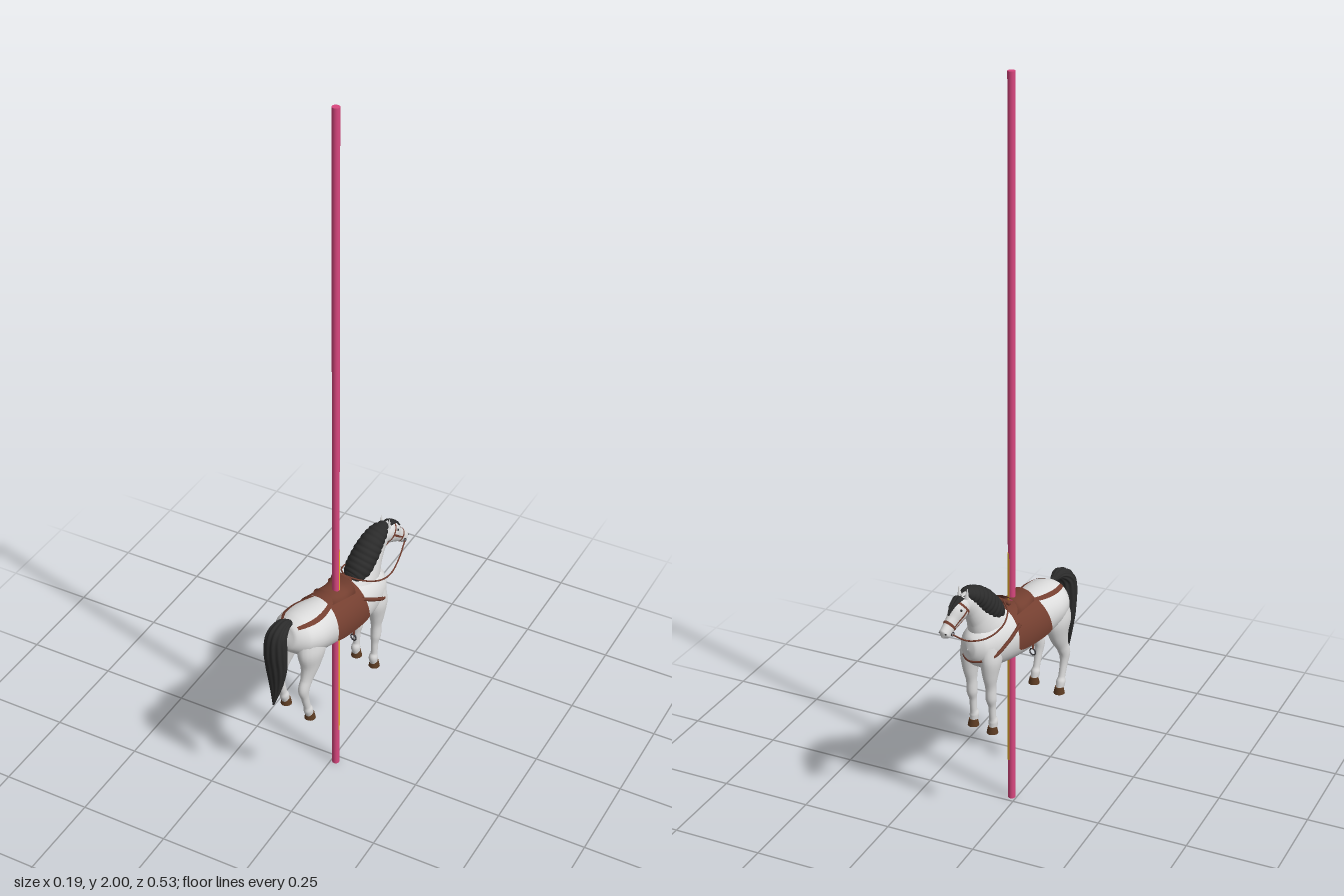
import * as THREE from 'three';
import { mergeVertices } from 'three/addons/utils/BufferGeometryUtils.js';

const mat = (name, color, side = THREE.FrontSide) => {
  const m = new THREE.MeshStandardMaterial({ color, side });
  m.name = name;
  return m;
};
const coat = mat('white coat', 0xdcdcdc);
const hair = mat('black hair', 0x2b2b2b, THREE.DoubleSide);
const leather = mat('brown leather', 0x743f30, THREE.DoubleSide);
const hoofMat = mat('hoof brown', 0x5c3b22);
const pinkMat = mat('pole pink', 0xd9477f);
const goldMat = mat('pole gold', 0xe8b02c);
const metal = mat('dark metal', 0x3c3c40);

const X = new THREE.Vector3(1, 0, 0);

// Surface through elliptical rings [side, forward, height, half width, half depth].
// Returns a point for t along the path and phi around it (0 = top of a forward path).
function surface(rings) {
  const path = new THREE.CatmullRomCurve3(rings.map(r => new THREE.Vector3(r[0], r[2], -r[1])));
  const size = new THREE.CatmullRomCurve3(rings.map(r => new THREE.Vector3(r[3], r[4], 0)));
  return (t, phi, off = 0) => {
    t = Math.min(1, Math.max(0, t));
    const c = path.getPoint(t), s = size.getPoint(t);
    const n = X.clone().cross(path.getTangent(t)).normalize();
    return c.addScaledVector(X, (s.x + off) * Math.sin(phi)).addScaledVector(n, (s.y + off) * Math.cos(phi));
  };
}

// Smooth grid of points from fn(u, v)
function grid(fn, nu, nv) {
  const pos = [], index = [];
  for (let i = 0; i <= nu; i++)
    for (let j = 0; j <= nv; j++) pos.push(...fn(i / nu, j / nv).toArray());
  for (let i = 0; i < nu; i++)
    for (let j = 0; j < nv; j++) {
      const a = i * (nv + 1) + j, b = a + 1, c = a + nv + 1, d = c + 1;
      index.push(a, b, c, b, d, c);
    }
  let g = new THREE.BufferGeometry();
  g.setAttribute('position', new THREE.Float32BufferAttribute(pos, 3));
  g.setIndex(index);
  g = mergeVertices(g, 1e-5);
  g.computeVertexNormals();
  return g;
}

const loft = (surf, nu = 40, nv = 28, ripple = () => 0) =>
  grid((u, v) => surf(u, v * Math.PI * 2, ripple(u, v * Math.PI * 2)), nu, nv);

// Patch lying on a surface
const patch = (surf, t0, t1, p0, p1, off, nu = 6, nv = 20) =>
  grid((u, v) => surf(t0 + (t1 - t0) * u, p0 + (p1 - p0) * v, off), nu, nv);

const tube = (pts, r, n = 40) => new THREE.TubeGeometry(
  new THREE.CatmullRomCurve3(pts.map(p => new THREE.Vector3(p[0], p[2], -p[1]))), n, r, 6);

export function createModel() {
  const model = new THREE.Group();
  model.name = 'carouselHorse';
  const horse = new THREE.Group();
  horse.name = 'horse';
  horse.position.set(0.005, 0, 0.0175);
  horse.rotation.y = -0.24;
  model.add(horse);
  const add = (name, geo, material, parent = horse) => {
    const m = new THREE.Mesh(geo, material);
    m.name = name;
    parent.add(m);
    return m;
  };

  // Pole with gold strip
  add('pole', new THREE.CylinderGeometry(0.01, 0.01, 2, 20), pinkMat, model).position.set(0.013, 1, 0.02);
  add('poleStrip', new THREE.CylinderGeometry(0.008, 0.008, 0.62, 16), goldMat, model).position.set(0.0155, 0.43, 0.0183);

  // Torso, neck and head
  const body = surface([
    [0, -0.19, 0.56, 0.002, 0.002], [0, -0.184, 0.558, 0.034, 0.034], [0, -0.155, 0.552, 0.064, 0.055],
    [0, -0.11, 0.543, 0.073, 0.064], [0, -0.05, 0.531, 0.067, 0.071], [0, 0.02, 0.527, 0.064, 0.074],
    [0, 0.08, 0.532, 0.062, 0.074], [0, 0.13, 0.536, 0.055, 0.068], [0, 0.165, 0.54, 0.042, 0.052],
    [0, 0.185, 0.541, 0.022, 0.03], [0, 0.19, 0.541, 0.002, 0.002]]);
  const neck = surface([
    [0, 0.085, 0.55, 0.05, 0.066], [0, 0.12, 0.59, 0.038, 0.055], [0, 0.145, 0.628, 0.029, 0.041],
    [0, 0.17, 0.66, 0.023, 0.033], [0, 0.195, 0.682, 0.02, 0.028], [0, 0.215, 0.69, 0.01, 0.013]]);
  const head = surface([
    [0, 0.192, 0.692, 0.004, 0.006], [0, 0.208, 0.68, 0.021, 0.03], [0, 0.225, 0.667, 0.022, 0.03],
    [0, 0.245, 0.65, 0.017, 0.023], [0, 0.265, 0.635, 0.0145, 0.018], [0, 0.279, 0.623, 0.0145, 0.017],
    [0, 0.288, 0.616, 0.002, 0.002]]);
  add('torso', loft(body, 60, 36), coat);
  add('neck', loft(neck), coat);
  add('head', loft(head), coat);

  // Body parameter for a forward distance
  const at = s => {
    let lo = 0, hi = 1;
    for (let i = 0; i < 24; i++) {
      const m = (lo + hi) / 2;
      if (-body(m, Math.PI / 2).z < s) lo = m; else hi = m;
    }
    return lo;
  };

  // Mane in ridged locks, forelock and tail
  const mane = surface([
    [0, 0.05, 0.598, 0.004, 0.004], [0, 0.075, 0.605, 0.028, 0.024], [0, 0.105, 0.629, 0.036, 0.034],
    [0, 0.13, 0.655, 0.035, 0.034], [0, 0.155, 0.68, 0.031, 0.028], [0, 0.18, 0.697, 0.025, 0.02],
    [0, 0.205, 0.71, 0.009, 0.008]]);
  add('mane', loft(mane, 90, 28, u => 0.0022 * Math.abs(Math.sin(u * Math.PI * 13))), hair);
  add('forelock', grid((u, v) => head(0.1 + 0.42 * u, (v - 0.5) * 1.5 * (1 - 0.85 * u),
    0.004 + 0.0015 * Math.cos(v * 18)), 14, 16), hair);
  const tail = surface([
    [0, -0.168, 0.598, 0.01, 0.008], [0, -0.192, 0.604, 0.02, 0.014], [0, -0.217, 0.585, 0.028, 0.023],
    [0, -0.223, 0.54, 0.031, 0.027], [0, -0.221, 0.48, 0.029, 0.024], [0, -0.224, 0.42, 0.019, 0.015],
    [0, -0.235, 0.36, 0.002, 0.002]]);
  add('tail', loft(tail, 40, 60, (u, p) => 0.0022 * Math.sin(p * 11 + u * 5) * Math.sin(u * Math.PI)), hair);

  // Saddle blanket with slightly flared corners, and raised seat
  add('saddleFlap', grid((u, v) => {
    const k = Math.abs(2 * v - 1), round = 0.12 * Math.pow(Math.abs(2 * u - 1), 6);
    return body(at(-0.064 + 0.128 * u), (2 * v - 1) * (1.9 - round), 0.005 + 0.004 * k ** 4);
  }, 20, 40), leather);
  add('saddleSeat', grid((u, v) => {
    const w = 2 * v - 1, e = 2 * u - 1;
    const rise = (0.008 + (e > 0 ? 0.016 : 0.01) * e * e) * (1 - w ** 4);
    return body(at(-0.05 + 0.095 * u), w * (0.5 + 0.15 * u), 0.005 + rise);
  }, 20, 20), leather);
  add('pommel', new THREE.CapsuleGeometry(0.006, 0.035, 6, 12).rotateZ(Math.PI / 2)
    .translate(0, 0.62, -0.044), leather);

  // Breast strap, bridle bands
  add('breastStrap', tube([[-0.06, 0.05, 0.575], [-0.061, 0.1, 0.545], [-0.047, 0.15, 0.515], [0, 0.181, 0.505],
    [0.047, 0.15, 0.515], [0.061, 0.1, 0.545], [0.06, 0.05, 0.575]], 0.005), leather);
  for (const [t, n] of [[0.22, 'browBand'], [0.6, 'noseBand']])
    add(n, patch(head, t, t + 0.045, 0, Math.PI * 2, 0.0015, 2, 28), leather);

  // Mirrored parts
  for (const side of [1, -1]) {
    const name = side > 0 ? 'right' : 'left';

    // Legs: rings run from the body down to the pastern
    const front = [[0.03, 0.13, 0.54, 0.022, 0.04], [0.033, 0.135, 0.5, 0.024, 0.036], [0.033, 0.138, 0.455, 0.018, 0.025],
      [0.032, 0.136, 0.415, 0.013, 0.016], [0.032, 0.135, 0.387, 0.0135, 0.016], [0.032, 0.131, 0.36, 0.0095, 0.011],
      [0.032, 0.129, 0.327, 0.009, 0.01], [0.032, 0.126, 0.312, 0.012, 0.0135], [0.032, 0.128, 0.295, 0.0105, 0.0115]];
    const hind = [[0.036, -0.128, 0.56, 0.028, 0.04], [0.042, -0.132, 0.51, 0.029, 0.046], [0.043, -0.138, 0.46, 0.021, 0.032],
      [0.043, -0.153, 0.42, 0.014, 0.02], [0.043, -0.164, 0.392, 0.013, 0.018], [0.043, -0.16, 0.362, 0.01, 0.012],
      [0.043, -0.152, 0.327, 0.009, 0.0105], [0.043, -0.148, 0.312, 0.012, 0.0135], [0.043, -0.143, 0.295, 0.0105, 0.0115]];
    for (const [part, rings] of [['FrontLeg', front], ['HindLeg', hind]]) {
      add(name + part, loft(surface(rings.map(([x, ...r]) => [x * side, ...r])), 40, 18), coat);
      const foot = rings[rings.length - 1];
      add(name + part + 'Hoof', new THREE.CylinderGeometry(0.0115, 0.0155, 0.019, 14), hoofMat)
        .position.set(foot[0] * side, 0.2895, -foot[1] - 0.002);
    }

    // Ear, eye, nostril
    const ear = add(name + 'Ear', new THREE.ConeGeometry(0.0065, 0.032, 10), coat);
    ear.position.set(0.013 * side, 0.713, -0.205);
    ear.rotation.z = -0.12 * side;
    const dot = (part, p, r) => add(name + part, new THREE.SphereGeometry(r, 10, 8), hair).position.copy(p);
    dot('Eye', head(0.34, 1.05 * side, -0.001), 0.0035);
    dot('Nostril', head(0.86, 0.9 * side, -0.001), 0.0025);

    // Cheek strap, bit ring and rein
    add(name + 'CheekStrap', patch(head, 0.22, 0.63, side * 1.6 - 0.1, side * 1.6 + 0.1, 0.0015, 16, 2), leather);
    add(name + 'BitRing', new THREE.TorusGeometry(0.005, 0.0012, 6, 14).rotateY(Math.PI / 2), metal)
      .position.set(0.017 * side, 0.624, -0.267);
    add(name + 'Rein', tube([[0.017, 0.267, 0.622], [0.032, 0.225, 0.592], [0.05, 0.17, 0.583], [0.055, 0.115, 0.596],
      [0.035, 0.07, 0.613], [0, 0.045, 0.625]].map(([x, ...r]) => [x * side, ...r]), 0.0022), leather);

    // Strap over the rump
    add(name + 'RumpStrap', grid((u, v) => {
      const p = side * (0.45 + 0.2 * Math.sin(u * Math.PI * 0.7)) + (v - 0.5) * 0.2;
      return body(at(-0.06 - 0.115 * u), p, 0.002);
    }, 20, 3), leather);

    // Stirrup
    add(name + 'StirrupStrap', new THREE.BoxGeometry(0.003, 0.03, 0.006), leather)
      .position.set(0.067 * side, 0.5, -0.005);
    add(name + 'Stirrup', new THREE.TorusGeometry(0.009, 0.002, 6, 16), metal)
      .position.set(0.066 * side, 0.477, -0.005);
  }
  return model;
}
